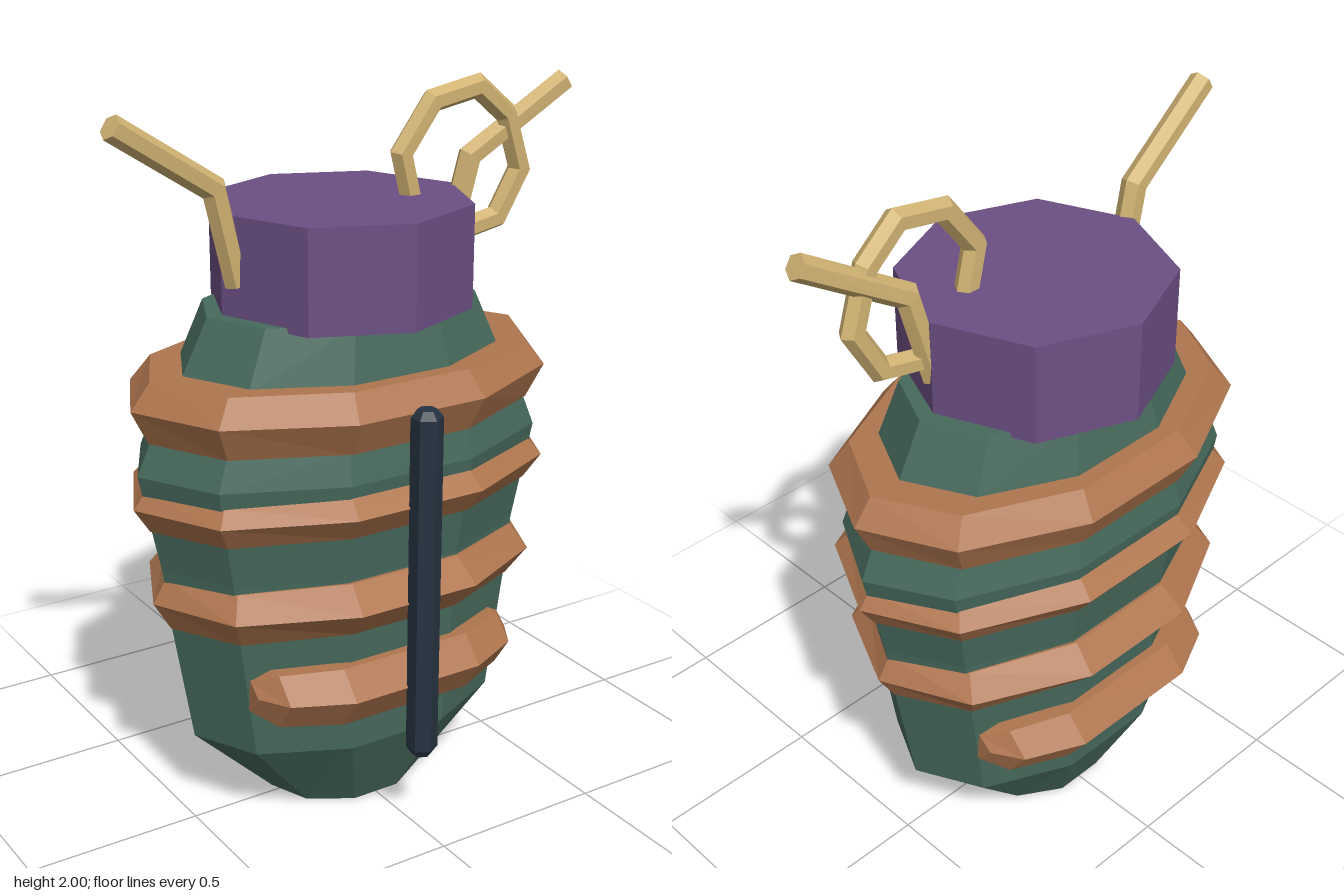
import * as THREE from 'three';

const CZ = -0.027; // depth centre of body and cap

function material(name, color) {
  const m = new THREE.MeshStandardMaterial({ color, flatShading: true });
  m.name = name;
  return m;
}

// Joins closed loops of points; wrap links last to first, otherwise the ends are capped
function loft(loops, wrap = false) {
  const pos = [];
  const tri = (...pts) => pts.forEach((p) => pos.push(p.x, p.y, p.z));
  const n = loops[0].length, count = wrap ? loops.length : loops.length - 1;
  for (let i = 0; i < count; i++) {
    const a = loops[i], b = loops[(i + 1) % loops.length];
    for (let j = 0; j < n; j++) {
      const k = (j + 1) % n;
      tri(a[j], a[k], b[k]);
      tri(a[j], b[k], b[j]);
    }
  }
  if (!wrap) {
    const s = loops[0], e = loops[loops.length - 1];
    for (let j = 1; j < n - 1; j++) {
      tri(s[0], s[j + 1], s[j]);
      tri(e[0], e[j], e[j + 1]);
    }
  }
  const g = new THREE.BufferGeometry();
  g.setAttribute('position', new THREE.Float32BufferAttribute(pos, 3));
  g.computeVertexNormals();
  return g;
}

// Ten-sided ellipse point
function ellipse(i, rx, rz, y) {
  const a = (i / 10) * Math.PI * 2;
  return new THREE.Vector3(Math.cos(a) * rx, y, -Math.sin(a) * rz);
}
const ten = [...Array(10).keys()];

// Six-sided rod following a bent path with mitred corners
function bentRod(points, r) {
  const p = points.map((q) => new THREE.Vector3(...q));
  const loops = p.map((c, i) => {
    const t1 = c.clone().sub(p[Math.max(i - 1, 0)]).normalize();
    const t2 = p[Math.min(i + 1, p.length - 1)].clone().sub(c).normalize();
    const t = t1.clone().add(t2).normalize();
    const miter = 1 / Math.max(t.dot(i ? t1 : t2), 0.6);
    const u = new THREE.Vector3(0, 0, 1).cross(t).normalize();
    const v = t.clone().cross(u);
    return [...Array(6).keys()].map((k) => {
      const a = (k / 6) * Math.PI * 2;
      return c.clone()
        .addScaledVector(u, Math.cos(a) * r * miter)
        .addScaledVector(v, Math.sin(a) * r);
    });
  });
  return loft(loops);
}

export function createModel() {
  const model = new THREE.Group();
  const green = material('green', 0x47695c);
  const orange = material('orange', 0xae754e);
  const purple = material('purple', 0x6c4f84);
  const gold = material('gold', 0xd0b273);
  const navy = material('navy', 0x263341);

  const add = (name, geometry, mat, z = 0, parent = model) => {
    const m = new THREE.Mesh(geometry, mat);
    m.name = name;
    m.position.z = z;
    parent.add(m);
    return m;
  };

  // Body: [y, half width, half depth]
  const profile = [
    [0, 0.235, 0.2], [0.24, 0.48, 0.315], [0.6, 0.54, 0.33], [0.76, 0.56, 0.335],
    [0.9, 0.59, 0.355], [1.04, 0.62, 0.375], [1.13, 0.58, 0.355], [1.28, 0.485, 0.32], [1.435, 0.405, 0.285],
  ];
  add('body', loft(profile.map(([y, rx, rz]) => ten.map((i) => ellipse(i, rx, rz, y)))), green, CZ);

  // Full bands: top, ridge and bottom as [y, half width, half depth], and a drop at the sides
  const bands = [
    [[1.29, 0.575, 0.365], [1.22, 0.632, 0.42], [1.125, 0.585, 0.37], 0],
    [[1.01, 0.6, 0.37], [0.965, 0.635, 0.42], [0.895, 0.59, 0.365], 0.015],
    [[0.76, 0.55, 0.345], [0.695, 0.59, 0.42], [0.61, 0.54, 0.34], 0.025],
  ];
  bands.forEach(([top, ridge, bottom, drop], b) => {
    const loops = ten.map((i) => {
      const d = drop * Math.abs(Math.cos((i / 10) * Math.PI * 2));
      const at = ([y, rx, rz], s = 1) => ellipse(i, rx * s, rz * s, y - d);
      return [at(top, 0.8), at(top), at(ridge), at(bottom), at(bottom, 0.8)];
    });
    add('band' + (b + 1), loft(loops, true), orange, CZ);
  });

  // Short lowest band on front and back: [x, ridge z, edge z, inner z, half height]
  const half = [[0.2, 0.4, 0.335, 0.24, 0.083], [0.36, 0.325, 0.265, 0.18, 0.076], [0.41, 0.24, 0.2, 0.15, 0.045]];
  const stations = [...half.map(([x, ...r]) => [-x, ...r]).reverse(), ...half];
  const shortBand = loft(stations.map(([x, out, edge, inner, h]) => [
    [h, inner], [h, edge], [0.01, out], [-h, edge], [-h, inner],
  ].map(([y, z]) => new THREE.Vector3(x, 0.43 + y, z))));
  add('shortBandFront', shortBand, orange, CZ);
  add('shortBandBack', shortBand, orange, CZ).rotation.y = Math.PI;

  // Eight-sided cap
  const cap = new THREE.CylinderGeometry(0.36, 0.36, 0.28, 8);
  cap.translate(0, 1.56, 0);
  add('cap', cap, purple, CZ);

  // Split pin legs, mirrored
  for (const s of [-1, 1]) {
    const path = [[s * 0.33, 1.52, 0], [s * 0.395, 1.775, 0.01], [s * 0.685, 1.96, 0.043]];
    add(s < 0 ? 'pinLegRight' : 'pinLegLeft', bentRod(path, 0.034), gold);
  }

  // Open pull ring
  const ring = [
    [0.2, 1.64, 0.03], [0.155, 1.81, 0.033], [0.25, 1.94, 0.036], [0.395, 1.967, 0.037],
    [0.495, 1.885, 0.035], [0.55, 1.73, 0.03], [0.48, 1.6, 0.022], [0.335, 1.57, 0.015],
  ];
  add('pullRing', bentRod(ring, 0.032), gold);

  // Upright front rod with chamfered ends
  const rod = new THREE.LatheGeometry(
    [[0, 0.235], [0.026, 0.235], [0.043, 0.258], [0.043, 1.21], [0.026, 1.232], [0, 1.232]]
      .map(([x, y]) => new THREE.Vector2(x, y)), 6);
  add('frontRod', rod, navy, 0.387);

  return model;
}
